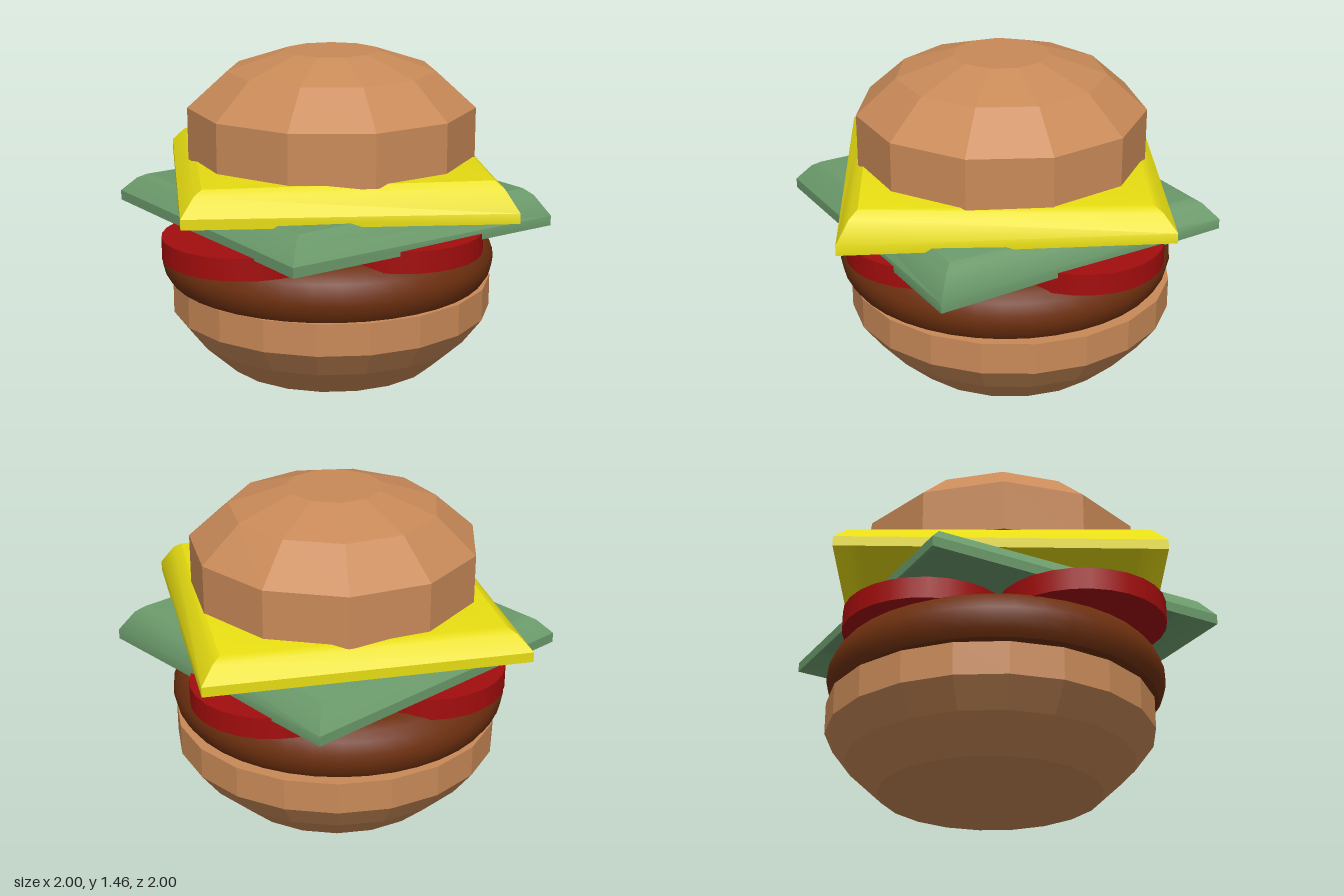
import * as THREE from 'three';
import { toCreasedNormals } from 'three/addons/utils/BufferGeometryUtils.js';

function material(name, color, flatShading = false) {
  const m = new THREE.MeshStandardMaterial({ color, flatShading });
  m.name = name;
  return m;
}

// Turned solid from [radius, height] pairs, listed from bottom to top
function turned(profile, sides, start = 0) {
  const points = profile.map(([r, y]) => new THREE.Vector2(r, y));
  return new THREE.LatheGeometry(points, sides, start);
}

// Square slice with drooping rims; each corner hangs at its own height below the flat top
function sliceGeometry() {
  const droop = [0.123, 0.09, 0.085, 0.1]; // right, back, left, front
  const thick = 0.045;
  // [corner radius, share of droop, extra depth], from top centre round to bottom centre
  const rings = [
    [0, 0, 0], [0.87, 0, 0], [0.92, 0.24, 0], [1, 1, 0],
    [1, 1, thick], [0.92, 0.24, thick], [0.87, 0, thick], [0, 0, thick],
  ];
  const pos = [], index = [];
  rings.forEach(([r, share, depth], i) => {
    for (let j = 0; j < 4; j++) {
      const a = j * Math.PI / 2;
      pos.push(r * Math.cos(a), -share * droop[j] - depth, -r * Math.sin(a));
      if (i === rings.length - 1) continue;
      const p = i * 4 + j, q = i * 4 + (j + 1) % 4;
      if (i < rings.length - 2) index.push(p, p + 4, q + 4);
      if (i > 0) index.push(p, q + 4, q);
    }
  });
  const g = new THREE.BufferGeometry();
  g.setAttribute('position', new THREE.Float32BufferAttribute(pos, 3));
  g.setIndex(index);
  return toCreasedNormals(g, 0.57);
}

export function createModel() {
  const model = new THREE.Group();
  model.name = 'burger';
  const bun = material('bun', 0xc98a58, true);
  const meat = material('meat', 0x6e300f);
  const red = material('tomatoRed', 0xa30d0d);
  const green = material('lettuceGreen', 0x6b9a6b);
  const yellow = material('cheeseYellow', 0xe6dc12);

  const add = (name, geometry, mat, x = 0, y = 0, z = 0) => {
    const mesh = new THREE.Mesh(geometry, mat);
    mesh.name = name;
    mesh.position.set(x, y, z);
    model.add(mesh);
    return mesh;
  };

  // Bottom bun, narrowing to its base
  add('bottomBun', turned([[0, 0], [0.5, 0], [0.65, 0.14], [0.74, 0.26], [0.74, 0.405], [0, 0.405]], 20),
    bun, -0.03, 0, -0.03);

  // Patty with a rounded rim
  const patty = turned([[0, 0.418], [0.73, 0.418], [0.752, 0.45], [0.765, 0.5], [0.762, 0.54],
    [0.74, 0.59], [0.71, 0.625], [0.66, 0.645], [0, 0.645]], 40);
  add('patty', toCreasedNormals(patty, 0.9), meat, -0.025, 0, 0);

  // Four tomato slices in a cross
  const tomato = new THREE.CylinderGeometry(0.37, 0.37, 0.097, 28);
  for (let i = 0; i < 4; i++) {
    const a = i * Math.PI / 2;
    add('tomatoSlice' + (i + 1), tomato, red,
      -0.02 + 0.44 * Math.cos(a), 0.667 + i * 0.0005, 0.03 + 0.51 * Math.sin(a));
  }

  // Lettuce and cheese, turned against each other
  const slice = sliceGeometry();
  add('lettuce', slice, green, 0, 0.85, 0).rotation.y = 0.558;
  add('cheese', slice, yellow, 0, 0.99, 0).rotation.y = 0.05;

  // Faceted top bun
  add('topBun', turned([[0, 0.975], [0.65, 0.975], [0.65, 1.21], [0.47, 1.37], [0.215, 1.455], [0, 1.455]],
    11, Math.PI / 2), bun);

  return model;
}
